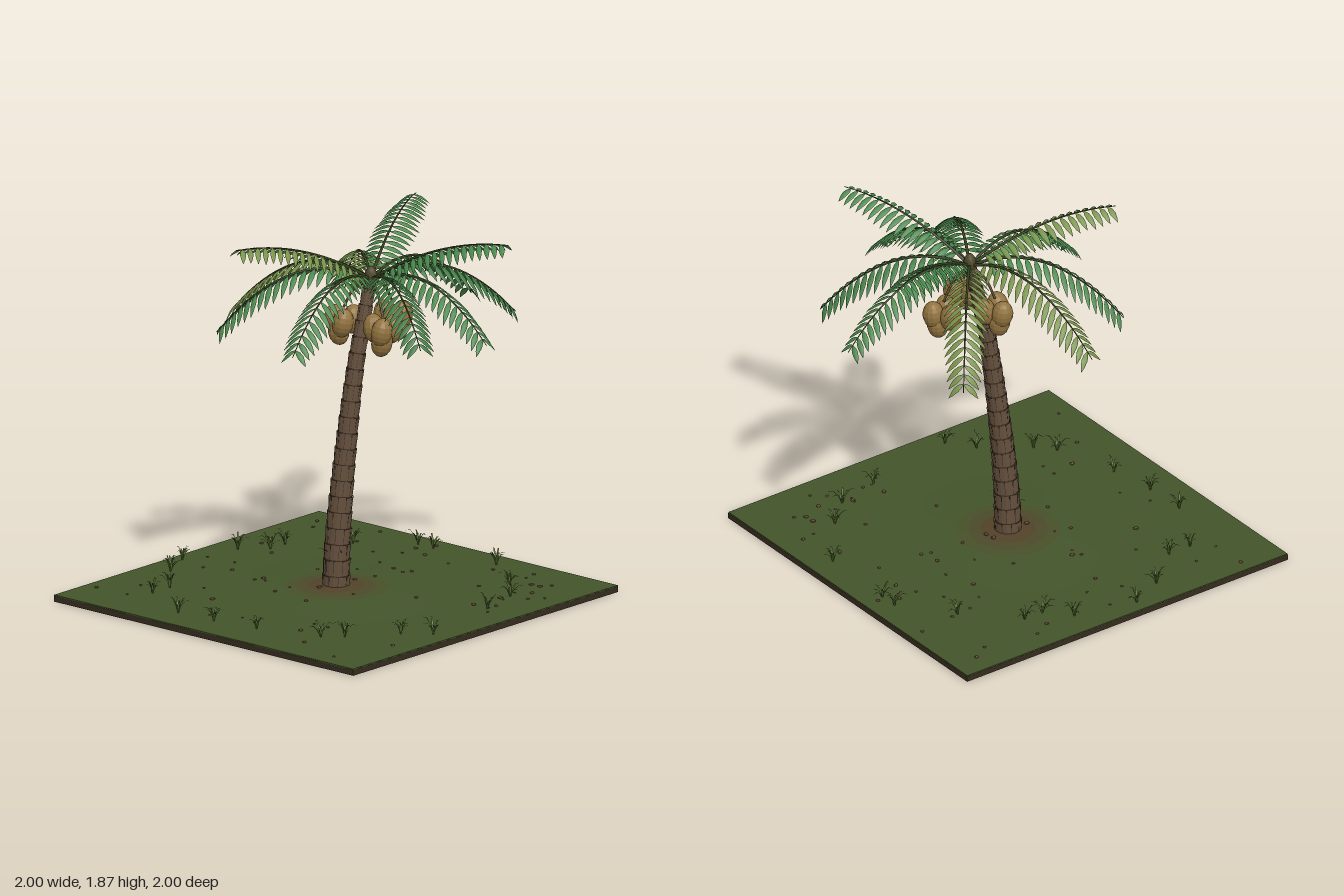
import * as THREE from 'three';
import { mergeGeometries } from 'three/addons/utils/BufferGeometryUtils.js';

const V = (x, y, z) => new THREE.Vector3(x, y, z);
const UP = V(0, 1, 0);
let seed = 7;
const rand = (a = 0, b = 1) => {
  seed = (seed * 16807) % 2147483647;
  return a + (b - a) * (seed / 2147483647);
};

function mesh(name, geometry, color, opts = {}) {
  const m = new THREE.Mesh(geometry, new THREE.MeshStandardMaterial({ color, ...opts }));
  m.name = name;
  return m;
}

// Tube whose radius runs from r0 to r1 along the curve
function taperedTube(curve, segs, r0, r1, sides) {
  const g = new THREE.TubeGeometry(curve, segs, 1, sides);
  const pos = g.attributes.position, v = V();
  for (let i = 0; i < pos.count; i++) {
    const t = Math.floor(i / (sides + 1)) / segs;
    const c = curve.getPointAt(t);
    v.fromBufferAttribute(pos, i).sub(c).multiplyScalar(r0 + (r1 - r0) * t).add(c);
    pos.setXYZ(i, v.x, v.y, v.z);
  }
  return g;
}

// Folded blade built from cross-sections: left edge, raised midrib, right edge
function blade(points, across, normal, widths) {
  const p = [], idx = [];
  points.forEach((c, i) => {
    for (const s of [-1, 0, 1]) {
      const q = c.clone().addScaledVector(across, (s * widths[i]) / 2);
      if (s === 0) q.addScaledVector(normal, widths[i] * 0.2);
      p.push(q.x, q.y, q.z);
    }
    if (i) for (const k of [0, 1]) {
      const a = (i - 1) * 3 + k, b = a + 3;
      idx.push(a, a + 1, b + 1, a, b + 1, b);
    }
  });
  const g = new THREE.BufferGeometry();
  g.setAttribute('position', new THREE.Float32BufferAttribute(p, 3));
  g.setIndex(idx);
  g.computeVertexNormals();
  return g;
}

const groundY = (r) => 0.035 + 0.038 * Math.max(0, 1 - r / 0.65) ** 1.3;
const CROWN = V(0.19, 1.626, 0.065);
const trunkCurve = new THREE.CatmullRomCurve3([
  V(0, 0.04, 0), V(0.003, 0.25, 0.005), V(0.033, 0.65, 0.02),
  V(0.095, 1.2, 0.048), V(0.14, 1.42, 0.058), V(0.195, 1.66, 0.066)]);

function createGround() {
  const g = new THREE.Group();
  g.name = 'ground';
  const soil = mesh('soilSlab', new THREE.BoxGeometry(2, 0.03, 2), 0x352c1e);
  soil.position.y = 0.015;
  const turf = mesh('turf', new THREE.BoxGeometry(1.998, 0.006, 1.998), 0x43552b);
  turf.position.y = 0.032;
  g.add(soil, turf);
  // Low mound, shading from grass to bare earth around the trunk
  const bands = [[0.65, 0.26, 0x43552b], [0.26, 0.2, 0x475029], [0.2, 0.14, 0x4b4a2a], [0.14, 0, 0x524229]];
  for (const [r0, r1, color] of bands) {
    const profile = [];
    for (let i = 0; i <= 5; i++) {
      const r = r0 + ((r1 - r0) * i) / 5;
      profile.push(new THREE.Vector2(r, groundY(r)));
    }
    g.add(mesh('mound', new THREE.LatheGeometry(profile, 36), color, { side: THREE.DoubleSide }));
  }
  // Scattered pebbles
  const pebbles = [];
  for (let i = 0; i < 70; i++) {
    const x = rand(-0.9, 0.93), z = rand(-0.93, 0.93), s = rand(0.007, 0.016);
    pebbles.push(new THREE.IcosahedronGeometry(1, 0).scale(s, s * 0.5, s * 0.8)
      .rotateY(rand(0, 6)).translate(x, groundY(Math.hypot(x, z)) + s * 0.2, z));
  }
  g.add(mesh('pebbles', mergeGeometries(pebbles), 0x6e4a35, { flatShading: true }));
  return g;
}

function createGrass() {
  const spots = [[-0.3, -0.84], [-0.11, -0.93], [0.22, -0.85], [0.33, -0.73], [0.44, -0.73], [-0.65, -0.65],
    [-0.52, -0.65], [-0.83, -0.32], [-0.82, -0.09], [-0.78, 0.16], [-0.68, 0.5], [-0.6, 0.59], [-0.37, 0.76],
    [-0.27, 0.89], [0.25, 0.79], [0.49, 0.73], [0.64, 0.59], [0.87, 0.3], [0.68, -0.49], [0.88, -0.23], [0.88, -0.13]];
  const blades = [];
  for (const [x, z] of spots) {
    const turn = rand(0, 6);
    for (let i = 0; i < 8; i++) {
      const a = turn + (i * Math.PI) / 4 + rand(-0.3, 0.3), reach = rand(0.03, 0.075), h = rand(0.045, 0.08);
      const d = V(Math.cos(a), 0, Math.sin(a));
      const at = (k, y) => V(x, groundY(Math.hypot(x, z)) + y * h, z).addScaledVector(d, reach * k);
      blades.push(blade([at(0, -0.05), at(0.25, 0.6), at(0.6, 1), at(1, 0.95)],
        V(-d.z, 0, d.x), UP, [0.007, 0.01, 0.007, 0.001]));
    }
  }
  return mesh('grassTufts', mergeGeometries(blades), 0x5d7434, { side: THREE.DoubleSide });
}

function createTrunk() {
  const g = new THREE.Group();
  g.name = 'trunk';
  const radius = (t) => 0.024 + 0.042 * (1 - t) ** 0.85;
  const rings = 20, plates = 9, core = [], bark = [];
  for (let i = 0; i < rings; i++) {
    const t0 = i / rings, t1 = (i + 1) / rings;
    const a = trunkCurve.getPointAt(t0), b = trunkCurve.getPointAt(t1);
    const dir = b.clone().sub(a), len = dir.length();
    const q = new THREE.Quaternion().setFromUnitVectors(UP, dir.normalize());
    const mid = a.clone().lerp(b, 0.5);
    const place = (geo) => geo.applyQuaternion(q).translate(mid.x, mid.y, mid.z);
    core.push(place(new THREE.CylinderGeometry(radius(t1), radius(t0), len * 1.04, 18)));
    // Staggered bark plates, flaring at the top of each ring
    for (let k = 0; k < plates; k++) {
      const start = ((k + (i % 2) * 0.5) / plates) * Math.PI * 2;
      bark.push(place(new THREE.CylinderGeometry(radius(t1) + 0.007, radius(t0) + 0.002, len * 0.96, 2, 1, true,
        start, (Math.PI * 2 * 0.95) / plates)));
    }
  }
  g.add(mesh('trunkCore', mergeGeometries(core), 0x33271d));
  g.add(mesh('barkPlates', mergeGeometries(bark), 0x65503d, { flatShading: true, side: THREE.DoubleSide }));
  // Peeling fibres near the base
  const fibres = [];
  for (let i = 0; i < 6; i++) {
    const d = V(Math.cos(i * 1.05), 0, Math.sin(i * 1.05)), y = rand(0.18, 0.28);
    const at = (r, h) => V(0, y + h, 0).addScaledVector(d, r);
    fibres.push(blade([at(0.06, 0), at(0.075, 0.012), at(0.095, 0.005)], V(-d.z, 0, d.x), UP, [0.007, 0.005, 0.001]));
  }
  g.add(mesh('barkFibres', mergeGeometries(fibres), 0x4a3a2a, { side: THREE.DoubleSide }));
  const bud = mesh('crownBud', new THREE.SphereGeometry(1, 12, 8), 0x4a4426);
  bud.scale.set(0.033, 0.06, 0.033);
  bud.position.copy(CROWN).y += 0.01;
  g.add(bud);
  return g;
}

function createFrond(degrees, reach, rise, bend, color) {
  const g = new THREE.Group();
  g.name = 'frond';
  const a = THREE.MathUtils.degToRad(degrees);
  const d = V(Math.cos(a), 0, Math.sin(a)), side = V(-d.z, 0, d.x);
  const pts = [];
  for (let i = 0; i <= 8; i++) {
    const r = (reach * i) / 8;
    pts.push(CROWN.clone().addScaledVector(d, r).addScaledVector(UP, rise * r + bend * r * r));
  }
  const rib = new THREE.CatmullRomCurve3(pts);
  g.add(mesh('frondRib', taperedTube(rib, 18, 0.009, 0.002, 5), 0x35421f));
  // Paired drooping leaflets
  const leaflets = [], n = 17;
  for (let i = 0; i < n; i++) {
    const t = 0.12 + (0.83 * i) / (n - 1);
    const p = rib.getPointAt(t), tan = rib.getTangentAt(t);
    const size = (0.62 + 0.38 * Math.sin(Math.PI * Math.min(1, t * 0.95 + 0.08))) * rand(0.94, 1.06);
    for (const s of [-1, 1]) {
      const at = (k) => p.clone().addScaledVector(side, s * 0.115 * size * k)
        .addScaledVector(tan, 0.05 * size * k).addScaledVector(UP, -size * (0.03 * k + 0.045 * k * k));
      const along = at(1).sub(p).normalize();
      const across = tan.clone().addScaledVector(along, -tan.dot(along)).normalize();
      const normal = across.clone().cross(along);
      if (normal.y < 0) normal.negate();
      leaflets.push(blade([0, 0.25, 0.5, 0.78, 1].map(at), across, normal,
        [0.004, 0.025, 0.031, 0.02, 0.001]));
    }
  }
  g.add(mesh('leaflets', mergeGeometries(leaflets), color, { side: THREE.DoubleSide }));
  return g;
}

function createCoconuts(degrees) {
  const g = new THREE.Group();
  g.name = 'coconutCluster';
  const a = THREE.MathUtils.degToRad(degrees);
  const c = V(0.2 + 0.15 * Math.cos(a), 1.4, 0.07 + 0.15 * Math.sin(a));
  const hub = c.clone().setY(1.47);
  const bow = CROWN.clone().lerp(hub, 0.6).setY(1.575);
  const stem = new THREE.CatmullRomCurve3([CROWN.clone(), bow, hub]);
  g.add(mesh('clusterStem', taperedTube(stem, 10, 0.009, 0.006, 6), 0x5a4a2a));
  // Three nuts round the stem and one hanging lower
  for (let i = 0; i < 4; i++) {
    const b = a + (i * Math.PI * 2) / 3 + 0.4, r = i < 3 ? 0.052 : 0.03;
    const nut = mesh('coconut', new THREE.SphereGeometry(1, 12, 9), 0x92733f, { flatShading: true });
    nut.scale.set(0.055, 0.075, 0.055);
    nut.position.set(c.x + r * Math.cos(b), i < 3 ? 1.402 : 1.345, c.z + r * Math.sin(b));
    nut.rotation.set(0.15 * Math.sin(b), b, -0.15 * Math.cos(b));
    g.add(nut);
  }
  return g;
}

export function createModel() {
  seed = 7;
  const model = new THREE.Group();
  model.name = 'palmTree';
  model.add(createGround(), createGrass(), createTrunk());
  const green = 0x48864a, olive = 0x76924a, deep = 0x3f7a42;
  // Arching lower fronds
  const lower = [[-137, 0.775, green], [-105, 0.78, olive], [-51, 0.79, olive], [0, 0.76, green],
    [33, 0.75, deep], [87, 0.74, green], [118, 0.71, deep], [170, 0.75, green]];
  for (const [deg, reach, color] of lower) model.add(createFrond(deg, reach, 0.533, -1.11, color));
  // Raised upper fronds
  const upper = [[-157, 0.75, olive], [-24, 0.75, green], [67, 0.725, green]];
  for (const [deg, reach, color] of upper) model.add(createFrond(deg, reach, 0.69, -0.49, color));
  for (const deg of [0, 120, 240]) model.add(createCoconuts(deg));
  return model;
}
